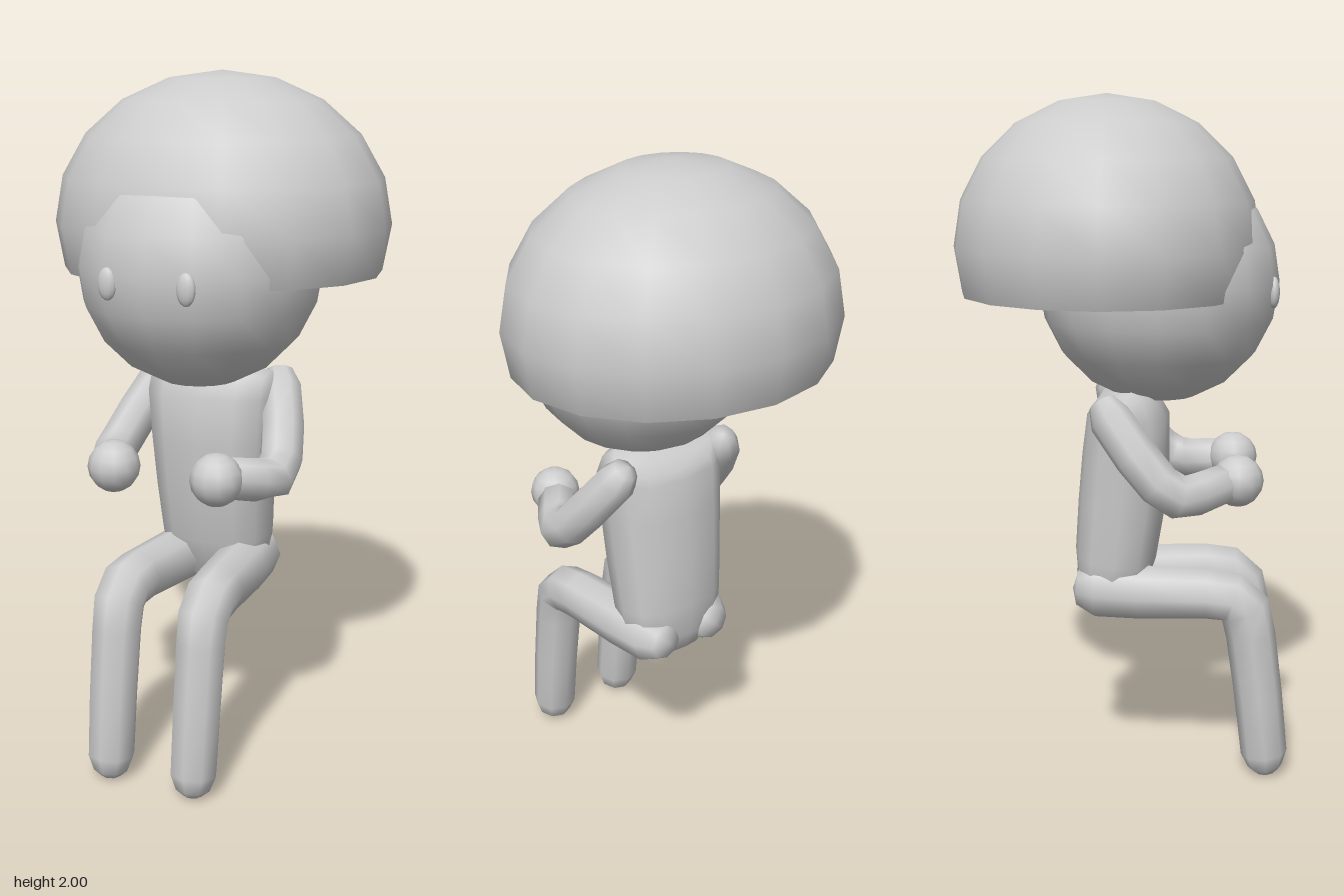
import * as THREE from 'three';
import { mergeVertices } from 'three/addons/utils/BufferGeometryUtils.js';

// Smooth body through rings [x, y, z, side radius, other radius]
function loft(rings, sides, power = 1) {
  const centres = rings.map((r) => new THREE.Vector3(r[0], r[1], r[2]));
  const bend = (v) => Math.sign(v) * Math.abs(v) ** power;
  const pos = [], index = [];
  rings.forEach((r, i) => {
    const t = centres[Math.min(i + 1, rings.length - 1)].clone()
      .sub(centres[Math.max(i - 1, 0)]).normalize();
    const side = new THREE.Vector3(1, 0, 0);
    side.addScaledVector(t, -side.dot(t)).normalize();
    const normal = t.clone().cross(side);
    for (let j = 0; j < sides; j++) {
      const a = (j / sides) * Math.PI * 2;
      const p = centres[i].clone()
        .addScaledVector(side, bend(Math.cos(a)) * r[3])
        .addScaledVector(normal, bend(Math.sin(a)) * (r[4] ?? r[3]));
      pos.push(p.x, p.y, p.z);
      if (i < rings.length - 1) {
        const k = (j + 1) % sides, q = i * sides;
        index.push(q + j, q + k, q + sides + k, q + j, q + sides + k, q + sides + j);
      }
    }
  });
  let geo = new THREE.BufferGeometry();
  geo.setAttribute('position', new THREE.Float32BufferAttribute(pos, 3));
  geo.setIndex(index);
  geo = mergeVertices(geo, 1e-5);
  geo.computeVertexNormals();
  return geo;
}

export function createModel() {
  const group = new THREE.Group();
  const grey = new THREE.MeshStandardMaterial({ color: 0xcccccc, side: THREE.DoubleSide });
  grey.name = 'plainGrey';

  const add = (name, geo, x = 0, y = 0, z = 0) => {
    const mesh = new THREE.Mesh(geo, grey);
    mesh.name = name;
    mesh.position.set(x, y, z);
    group.add(mesh);
    return mesh;
  };

  // Head and the open bowl of hair
  add('head', new THREE.SphereGeometry(0.35, 16, 10), 0, 1.47, 0.1);
  add('hair', new THREE.SphereGeometry(1, 16, 6, 0, Math.PI * 2, 0, Math.PI * 0.6), 0, 1.57, -0.05)
    .scale.set(0.497, 0.43, 0.445);

  // Torso, from seat to shoulders
  add('torso', loft([
    [0, 0.475, -0.06, 0, 0],
    [0, 0.485, -0.06, 0.08, 0.06],
    [0, 0.54, -0.04, 0.16, 0.1],
    [0, 0.65, -0.025, 0.17, 0.122],
    [0, 0.8, -0.008, 0.18, 0.13],
    [0, 0.95, 0.005, 0.19, 0.13],
    [0, 1.08, 0.012, 0.2, 0.122],
    [0, 1.13, 0, 0.2, 0.095],
    [0, 1.155, -0.01, 0.18, 0.06],
    [0, 1.16, -0.01, 0, 0],
  ], 12, 0.8));

  for (const [s, label] of [[1, 'left'], [-1, 'right']]) {
    add(label + 'Eye', new THREE.SphereGeometry(1, 12, 10), s * 0.117, 1.45, 0.425)
      .scale.set(0.028, 0.045, 0.017);

    // Bent arm and round hand
    add(label + 'Arm', loft([
      [s * 0.175, 1.155, -0.07, 0],
      [s * 0.18, 1.145, -0.06, 0.04],
      [s * 0.195, 1.1, -0.035, 0.062],
      [s * 0.235, 1.0, 0.04, 0.064],
      [s * 0.258, 0.925, 0.105, 0.063],
      [s * 0.258, 0.89, 0.16, 0.065],
      [s * 0.23, 0.892, 0.215, 0.062],
      [s * 0.18, 0.91, 0.29, 0.058],
      [s * 0.175, 0.912, 0.3, 0],
    ], 8));
    add(label + 'Hand', new THREE.SphereGeometry(0.075, 12, 8), s * 0.16, 0.915, 0.33);

    // Seated leg with a rounded end
    add(label + 'Leg', loft([
      [s * 0.09, 0.565, -0.15, 0],
      [s * 0.09, 0.565, -0.135, 0.055],
      [s * 0.095, 0.563, -0.08, 0.085],
      [s * 0.11, 0.56, 0.05, 0.083],
      [s * 0.13, 0.563, 0.25, 0.077],
      [s * 0.134, 0.555, 0.32, 0.077],
      [s * 0.134, 0.52, 0.36, 0.076],
      [s * 0.134, 0.44, 0.378, 0.073],
      [s * 0.134, 0.25, 0.404, 0.071],
      [s * 0.133, 0.07, 0.424, 0.069],
      [s * 0.133, 0.025, 0.428, 0.052],
      [s * 0.133, 0.004, 0.43, 0.028],
      [s * 0.133, 0, 0.43, 0],
    ], 8));
  }
  return group;
}
